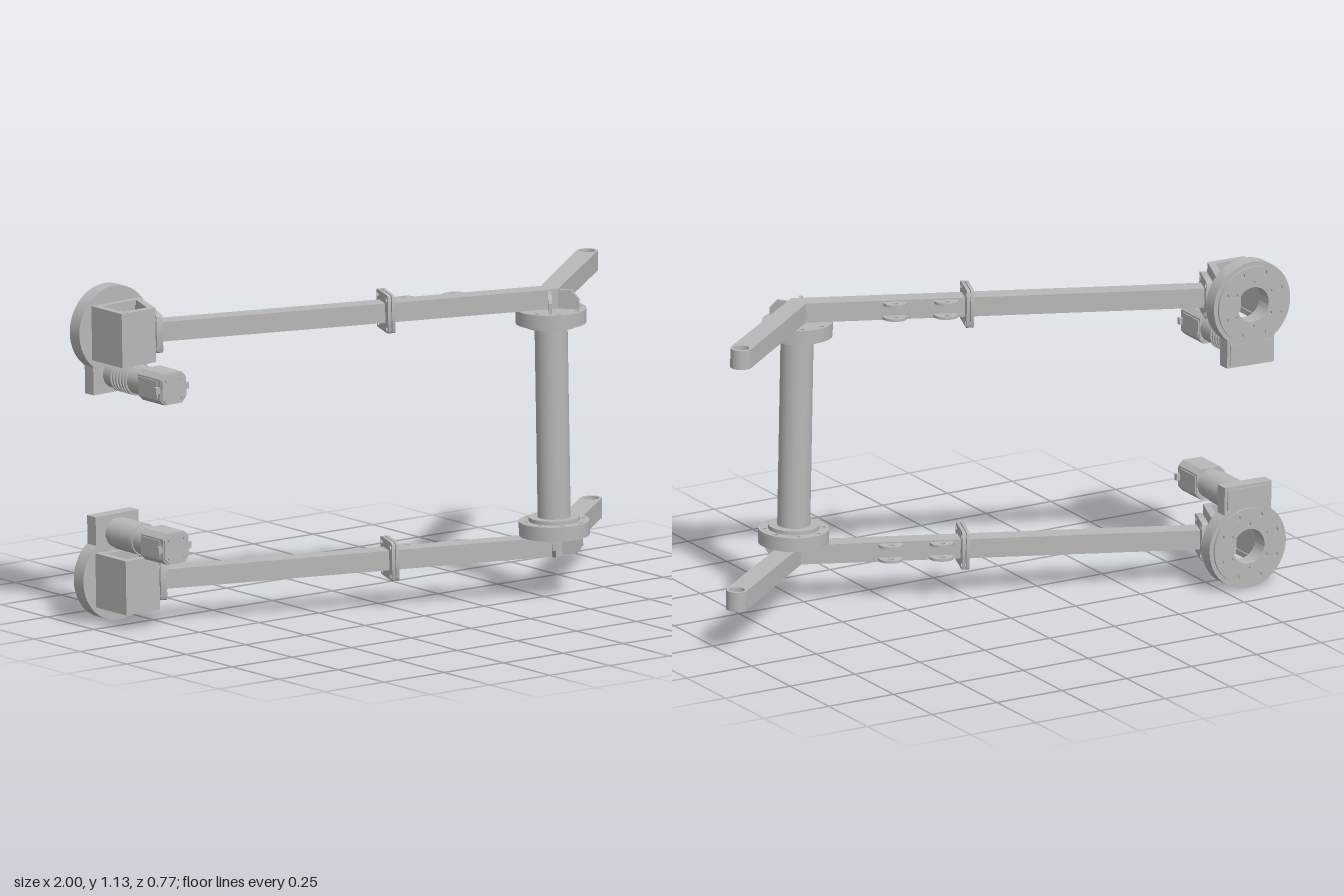
import * as THREE from 'three';
import { toCreasedNormals } from 'three/addons/utils/BufferGeometryUtils.js';

const metal = new THREE.MeshStandardMaterial({ color: 0xb8b8b8 });
metal.name = 'brushed grey';

const V = (x, y) => new THREE.Vector2(x, y);
// Plan layout (x, z): elbow of the arm, its outer tip and the drive hub
const elbow = V(0.523, 0.262), tip = V(0.955, -0.093);
const hubX = -0.847, armY = 0.42, halfArm = 0.033;
const d1 = V(0.936, 0.351).normalize(), n1 = V(-d1.y, d1.x);
const d2 = tip.clone().sub(elbow).normalize(), n2 = V(-d2.y, d2.x);
const onArm = (t, side = 0) => elbow.clone().addScaledVector(d1, t).addScaledVector(n1, side);

function add(parent, name, geo, x = 0, y = 0, z = 0) {
  const mesh = new THREE.Mesh(geo, metal);
  mesh.name = name;
  mesh.position.set(x, y, z);
  parent.add(mesh);
  return mesh;
}

// Extrusion centred on its own thickness, along z
function slab(shape, depth, curveSegments = 20) {
  const g = new THREE.ExtrudeGeometry(shape, { depth, bevelEnabled: false, curveSegments });
  return toCreasedNormals(g.translate(0, 0, -depth / 2), 0.5);
}
// Same, but the shape is a plan in (x, z) and the thickness is vertical
const planSlab = (shape, depth) => slab(shape, depth).rotateX(Math.PI / 2);

function punch(shape, x, y, r) {
  shape.holes.push(new THREE.Path().absarc(x, y, r, 0, Math.PI * 2, true));
}

// Disc with an optional bore and rings of bolt holes: [count, ring radius, hole radius]
function discShape(r, bore, ...rings) {
  const s = new THREE.Shape().absarc(0, 0, r, 0, Math.PI * 2, false);
  if (bore) punch(s, 0, 0, bore);
  for (const [n, ring, hole] of rings)
    for (let i = 0; i < n; i++) {
      const a = ((i + 0.5) / n) * Math.PI * 2;
      punch(s, Math.cos(a) * ring, Math.sin(a) * ring, hole);
    }
  return s;
}

// Square of half size h with cut or rounded corners
function squareShape(h, c, round = true) {
  const s = new THREE.Shape().moveTo(-h + c, -h);
  const corner = (x, y, ex, ey) => (round ? s.quadraticCurveTo(x, y, ex, ey) : s.lineTo(ex, ey));
  s.lineTo(h - c, -h); corner(h, -h, h, -h + c);
  s.lineTo(h, h - c); corner(h, h, h - c, h);
  s.lineTo(-h + c, h); corner(-h, h, -h, h - c);
  s.lineTo(-h, -h + c); corner(-h, -h, -h + c, -h);
  return s;
}

// Square bolted plate standing across the inner arm
function armPlate(parent, name, t, thickness) {
  const s = squareShape(0.065, 0.014);
  for (const x of [-1, 1]) for (const y of [-1, 1]) punch(s, x * 0.049, y * 0.049, 0.009);
  const p = onArm(t);
  add(parent, name, slab(s, thickness), p.x, 0, p.y).rotation.y = Math.atan2(d1.x, d1.y);
}

function buildArm(g, s) {
  // Mitred joint between the two bars
  const m = n1.clone().add(n2).normalize();
  m.multiplyScalar(halfArm / m.dot(n1));
  const inA = elbow.clone().add(m), inB = elbow.clone().sub(m);
  add(g, 'innerArm', planSlab(new THREE.Shape([onArm(-1.37, -halfArm), inB, inA, onArm(-1.37, halfArm)]), 0.066));

  // Outer bar with a round, bored end
  const r = 0.036, a = Math.atan2(d2.y, d2.x);
  const outer = new THREE.Shape().moveTo(inA.x, inA.y);
  outer.lineTo(inB.x, inB.y);
  outer.absarc(tip.x, tip.y, r, a - Math.PI / 2, a + Math.PI / 2, false);
  outer.closePath();
  punch(outer, tip.x, tip.y, 0.026);
  add(g, 'outerArm', planSlab(outer, 0.066));

  // Splice plates and the plate against the gearbox housing
  armPlate(g, 'splicePlate', -0.575, 0.011);
  armPlate(g, 'splicePlate', -0.561, 0.011);
  armPlate(g, 'housingPlate', -1.372, 0.022);

  // Paired lugs on the back of the inner arm
  for (const t of [-0.49, -0.318]) {
    const lug = new THREE.Shape().moveTo(-0.04, -0.03);
    lug.lineTo(-0.04, -0.042);
    lug.quadraticCurveTo(-0.036, -0.074, 0, -0.076);
    lug.quadraticCurveTo(0.036, -0.074, 0.04, -0.042);
    lug.lineTo(0.04, -0.03);
    lug.closePath();
    punch(lug, 0, -0.055, 0.009);
    const p = onArm(t);
    for (const y of [-0.024, 0.024])
      add(g, 'lug', planSlab(lug, 0.009), p.x, y, p.y).rotation.y = -Math.atan2(d1.y, d1.x);
  }

  // Column flange with its step, and gussets at the elbow
  add(g, 'columnFlange', planSlab(discShape(0.118, 0, [8, 0.1, 0.008]), 0.048), elbow.x, -s * 0.06, elbow.y + 0.005);
  add(g, 'flangeStep', new THREE.CylinderGeometry(0.085, 0.085, 0.014, 32), elbow.x, -s * 0.09, elbow.y + 0.005);
  const rib = [[0, -0.04], [0.1, -0.04], [0.1, 0], [0.076, 0.028], [0, 0.028]].map(([x, y]) => V(x, y * s));
  for (const x of [-0.6, 0.6])
    add(g, 'gusset', slab(new THREE.Shape(rib), 0.012), elbow.x, 0, elbow.y).rotation.y = -Math.atan2(0.8, x);
}

function buildDrive(g, s) {
  // Housing: three walls in plan, open to the hub at the back, framed above and below
  const w = 0.02, L = -0.942, back = -0.325, front = -0.16;
  const slant = (z) => -0.778 - (z + 0.222) * 0.375;
  const walls = [
    V(L, back), V(L + w, back), V(L + w, front - w), V(slant(front - w) - w, front - w),
    V(slant(back) - w, back), V(slant(back), back), V(slant(front), front), V(L, front),
  ];
  add(g, 'housingWalls', planSlab(new THREE.Shape(walls), 0.182));
  for (const y of [-0.083, 0.083]) {
    const frame = new THREE.Shape([V(L, back), V(slant(back), back), V(slant(front), front), V(L, front)]);
    const i = 0.025;
    frame.holes.push(new THREE.Path([
      V(L + i, back + i), V(L + i, front - i), V(slant(front - i) - i, front - i), V(slant(back + i) - i, back + i),
    ]));
    add(g, 'housingFrame', planSlab(frame, 0.018), 0, y, 0);
  }

  // Hub disc, raised bolt ring and the tab that carries the motor
  add(g, 'hubDisc', slab(discShape(0.147, 0.06), 0.052, 28), hubX, 0, -0.35);
  add(g, 'boltRing', slab(discShape(0.132, 0.06, [8, 0.112, 0.009], [6, 0.076, 0.007]), 0.008, 28), hubX, 0, -0.379);
  add(g, 'motorTab', new THREE.BoxGeometry(0.18, 0.113, 0.046), hubX, -s * 0.1565, -0.349);
  add(g, 'tabCover', new THREE.BoxGeometry(0.16, 0.07, 0.006), hubX, -s * 0.168, -0.374);

  // Motor: gear section with ribs, then an eight-sided body and end cap
  const motor = new THREE.Group();
  motor.name = 'motor';
  motor.position.set(hubX, -s * 0.149, 0);
  g.add(motor);
  const round = (name, r, z0, z1) =>
    add(motor, name, new THREE.CylinderGeometry(r, r, z1 - z0, 28).rotateX(Math.PI / 2), 0, 0, (z0 + z1) / 2);
  round('gearSection', 0.05, -0.33, -0.13);
  if (s > 0) for (let i = 0; i < 6; i++) round('coolingRib', 0.056, -0.285 + i * 0.016, -0.277 + i * 0.016);
  else round('gearCollar', 0.054, -0.3, -0.18);
  add(motor, 'motorBody', slab(squareShape(0.053, 0.017, false), 0.12), 0, 0, -0.07);
  add(motor, 'motorCap', slab(squareShape(0.05, 0.018, false), 0.008), 0, 0, -0.008);
  for (const x of [-1, 1]) {
    add(motor, 'motorSidePanel', new THREE.BoxGeometry(0.006, 0.06, 0.1), x * 0.054, 0, -0.075);
    add(motor, 'motorEar', new THREE.BoxGeometry(0.018, 0.022, 0.014), x * 0.06, 0, -0.02);
    for (const y of [-1, 1])
      add(motor, 'capScrew', new THREE.CylinderGeometry(0.006, 0.006, 0.006, 10).rotateX(Math.PI / 2), x * 0.032, y * 0.032, -0.003);
  }
}

export function createModel() {
  const model = new THREE.Group();
  model.name = 'twinArmLinkage';
  // The whole frame leans slightly
  const frame = new THREE.Group();
  frame.name = 'frame';
  frame.position.y = 0.585;
  frame.rotation.z = 0.02;
  model.add(frame);

  for (const s of [1, -1]) {
    const unit = new THREE.Group();
    unit.name = s > 0 ? 'upperArm' : 'lowerArm';
    unit.position.y = s * armY;
    frame.add(unit);
    buildArm(unit, s);
    buildDrive(unit, s);
  }
  add(frame, 'column', new THREE.CylinderGeometry(0.055, 0.055, 0.66, 32), elbow.x, 0, elbow.y + 0.005);
  return model;
}
